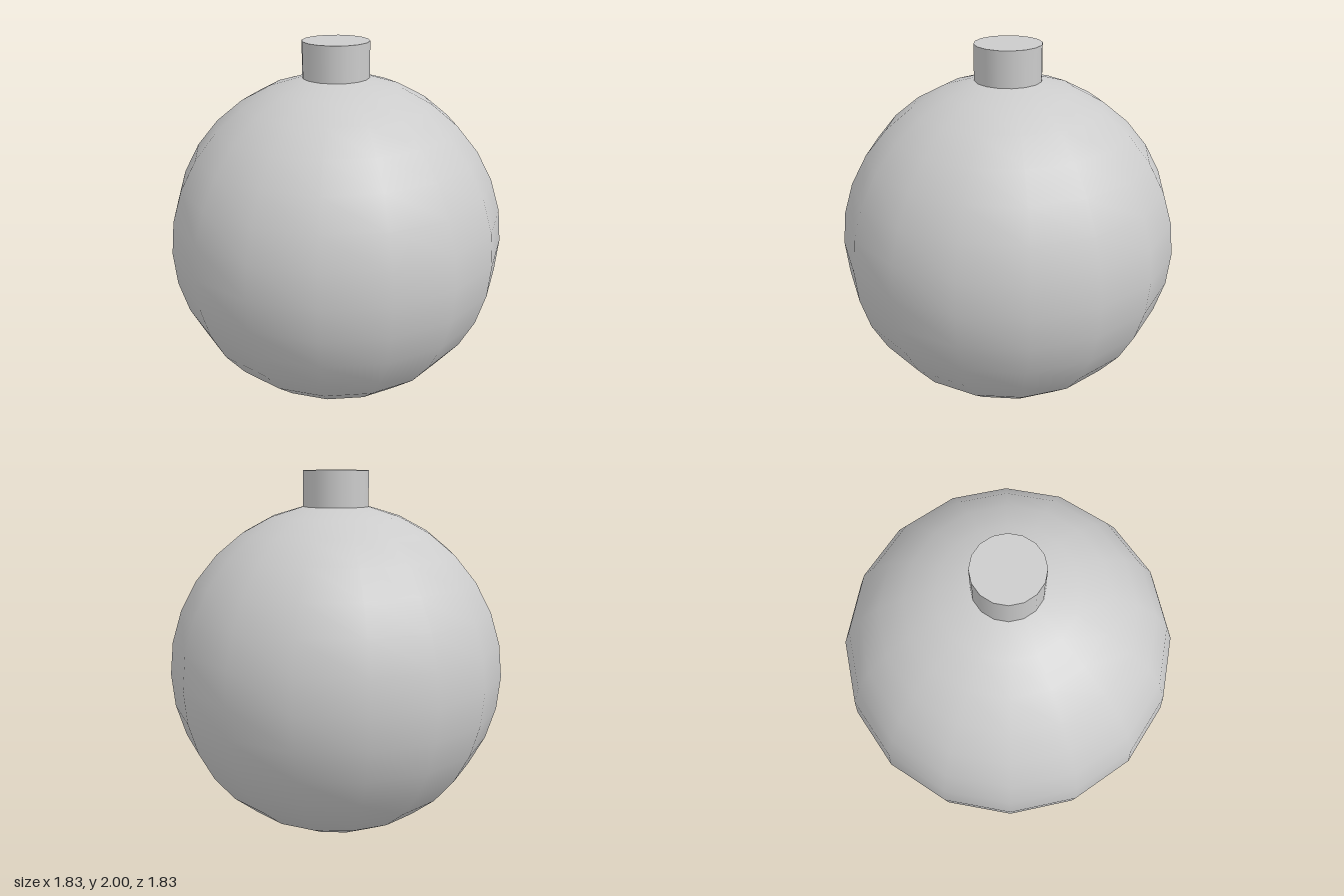
import * as THREE from 'three';

export function createModel() {
  const group = new THREE.Group();
  const material = new THREE.MeshStandardMaterial({ color: 0xcccccc });
  const sides = 16;
  const radius = 0.914;
  // The cap sits on the sphere's topmost ring and shares its radius
  const ring = Math.PI / sides;
  const capRadius = radius * Math.sin(ring);
  const capBase = radius * (1 + Math.cos(ring));

  const add = (name, geometry, y) => {
    const mesh = new THREE.Mesh(geometry, material);
    mesh.name = name;
    mesh.position.y = y;
    group.add(mesh);
  };

  // Round bauble body, resting on its lower pole
  add('body', new THREE.SphereGeometry(radius, sides, sides), radius);

  // Short cylindrical cap on top
  const capHeight = 2 - capBase;
  add('cap', new THREE.CylinderGeometry(capRadius, capRadius, capHeight, sides), capBase + capHeight / 2);

  return group;
}
